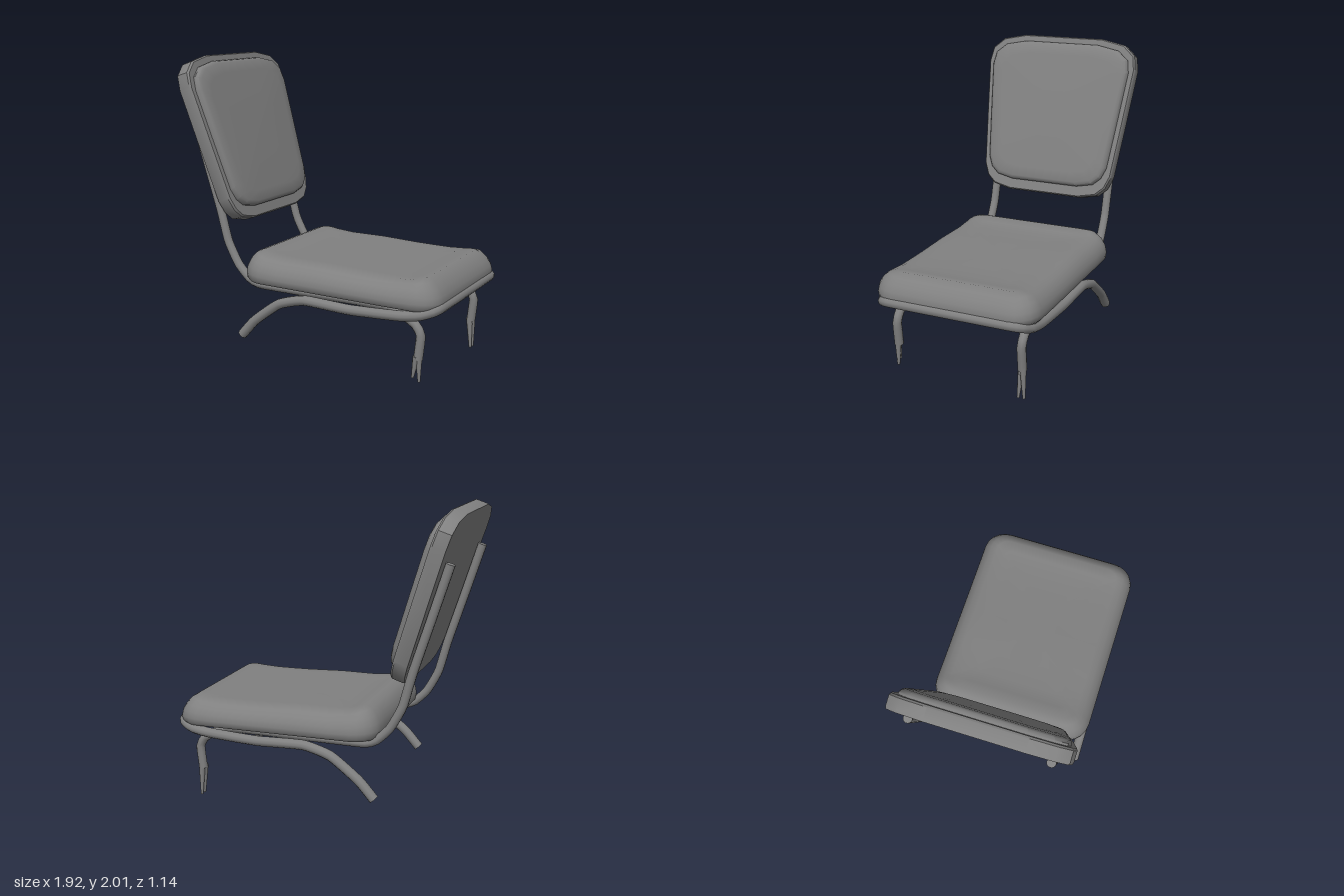
import * as THREE from 'three';
import { toCreasedNormals } from 'three/addons/utils/BufferGeometryUtils.js';

const V = (x, y, z) => new THREE.Vector3(x, y, z);
const material = new THREE.MeshStandardMaterial({ color: 0x808080 });

function part(name, geometry) {
  const mesh = new THREE.Mesh(geometry, material);
  mesh.name = name;
  return mesh;
}

// Skin over rings of equal point count, closed at both ends with a fan
function loft(rings, crease) {
  const n = rings[0].length, points = rings.flat(), index = [];
  for (let r = 0; r < rings.length - 1; r++) {
    for (let i = 0; i < n; i++) {
      const a = r * n + i, b = r * n + (i + 1) % n;
      index.push(a, b, b + n, a, b + n, a + n);
    }
  }
  [0, rings.length - 1].forEach((r) => {
    const centre = rings[r].reduce((s, p) => s.add(p), V(0, 0, 0)).divideScalar(n);
    const c = points.push(centre) - 1;
    for (let i = 0; i < n; i++) {
      const a = r * n + i, b = r * n + (i + 1) % n;
      if (r === 0) index.push(c, b, a);
      else index.push(c, a, b);
    }
  });
  const g = new THREE.BufferGeometry().setFromPoints(points);
  g.setIndex(index);
  return toCreasedNormals(g, crease);
}

// Bent round bar with closed ends
function bar(name, points, radius, segments) {
  const group = new THREE.Group();
  group.name = name;
  const curve = new THREE.CatmullRomCurve3(points, false, 'catmullrom', 0.25);
  group.add(part(name + 'Tube', new THREE.TubeGeometry(curve, segments, radius, 10)));
  [0, 1].forEach((t) => {
    const cap = part(name + 'End', new THREE.CircleGeometry(radius, 10));
    const out = curve.getTangent(t).multiplyScalar(t ? 1 : -1);
    cap.position.copy(curve.getPoint(t));
    cap.quaternion.setFromUnitVectors(V(0, 0, 1), out);
    group.add(cap);
  });
  return group;
}

// Tapered prong between two points
function prong(from, to) {
  const dir = to.clone().sub(from);
  const mesh = part('footProng', new THREE.CylinderGeometry(0.009, 0.023, dir.length(), 8));
  mesh.position.copy(from).lerp(to, 0.5);
  mesh.quaternion.setFromUnitVectors(V(0, 1, 0), dir.normalize());
  return mesh;
}

function interpolate(table, x) {
  if (x <= table[0][0]) return table[0][1];
  for (let i = 1; i < table.length; i++) {
    const [x0, y0] = table[i - 1], [x1, y1] = table[i];
    if (x <= x1) return y0 + (y1 - y0) * (x - x0) / (x1 - x0);
  }
  return table[table.length - 1][1];
}

// Rounded rectangle as [z, x] pairs, with its straight edges subdivided
function roundedRect(halfZ, halfX, radius) {
  const corners = [[1, 1], [-1, 1], [-1, -1], [1, -1]].map(([sz, sx], k) =>
    Array.from({ length: 6 }, (_, i) => {
      const a = (k + i / 5) * Math.PI / 2;
      return [sz * (halfZ - radius) + radius * Math.cos(a), sx * (halfX - radius) + radius * Math.sin(a)];
    }));
  return corners.flatMap((arc, k) => {
    const a = arc[5], b = corners[(k + 1) % 4][0], edge = [];
    for (let i = 1; i < 8; i++) edge.push([a[0] + (b[0] - a[0]) * i / 8, a[1] + (b[1] - a[1]) * i / 8]);
    return [...arc, ...edge];
  });
}

// Seat cushion with raised rear and front rolls
function seat() {
  const top = [[-0.47, 0.75], [-0.37, 0.75], [-0.29, 0.725], [-0.2, 0.712], [0.1, 0.71], [0.4, 0.695], [0.7, 0.69], [0.83, 0.71], [0.94, 0.68]];
  const steps = [[0.02, 0], [0.004, 0.1], [0, 0.28], [0.008, 0.5], [0.03, 0.72], [0.065, 0.91], [0.11, 1], [0.18, 1], [0.27, 1], [0.42, 1]];
  const rings = steps.map(([inset, t]) =>
    roundedRect(0.565 - inset, 0.703 - inset, Math.max(0.05, 0.16 - inset * 0.7)).map(([z, x0]) => {
      const x = x0 + 0.235, bottom = 0.54 - 0.018 * x;
      return V(x, bottom + (interpolate(top, x) - bottom) * t, z);
    }));
  return part('seatCushion', loft(rings, 0.85));
}

// Backrest layer: copies of one outline [width scale, height scale, offset along the tilted normal]
function backPanel(name, midHeight, steps) {
  const half = [[0.27, -0.008], [0.4, 0.02], [0.46, 0.075], [0.495, 0.16], [0.533, 0.55], [0.568, 0.93], [0.55, 1.03], [0.47, 1.1], [0.3, 1.135]];
  const outline = [...half, ...half.map(([a, v]) => [-a, v]).reverse()];
  const rings = steps.map(([wide, high, w]) => outline.map(([a, v0]) => {
    const v = midHeight + (v0 - 0.57) * high;
    return V(-0.61 - 0.308 * v + 0.951 * w, 0.9 + 0.951 * v + 0.308 * w, -a * wide);
  }));
  return part(name, loft(rings, 0.6));
}

export function createModel() {
  const model = new THREE.Group();
  model.name = 'chair';
  model.add(seat());
  model.add(backPanel('backrestPlate', 0.57, [[0.99, 0.995, 0], [1, 1, 0.015], [1, 1, 0.085], [0.985, 0.985, 0.098]]));
  model.add(backPanel('backrestPad', 0.583, [[0.925, 0.89, 0.09], [0.925, 0.89, 0.112], [0.905, 0.875, 0.13], [0.87, 0.845, 0.14], [0.75, 0.73, 0.145]]));

  // Side bars: back post, run under the seat, front leg
  const side = [[-0.9, 1.695], [-0.785, 1.33], [-0.68, 1], [-0.62, 0.78], [-0.54, 0.63], [-0.45, 0.54], [-0.36, 0.512],
    [0.1, 0.508], [0.58, 0.502], [0.69, 0.46], [0.77, 0.41], [0.806, 0.35], [0.797, 0.25], [0.79, 0.19]];
  [1, -1].forEach((s) => {
    const name = s > 0 ? 'left' : 'right';
    model.add(bar(name + 'BackPostAndFrontLeg', side.map(([x, y]) => V(x, y, s * 0.442)), 0.03, 70));
  });

  // Split feet
  const feet = [[0.445, [0.76, 0.07, 0.455], [0.8, 0.045, 0.445]], [-0.44, [0.8, 0, -0.417], [0.8, 0, -0.457]]];
  feet.forEach(([z, a, b]) => {
    model.add(prong(V(0.782, 0.21, z + Math.sign(a[2] - z) * 0.008), V(...a)));
    model.add(prong(V(0.797, 0.21, z + Math.sign(b[2] - z) * 0.008), V(...b)));
  });

  // Loop bar: rear legs joined around the front of the seat
  const loop = [[-0.465, 0.17, 0.522], [-0.36, 0.285, 0.522], [-0.17, 0.425, 0.522], [0.02, 0.476, 0.522], [0.35, 0.464, 0.522],
    [0.7, 0.48, 0.525], [0.82, 0.498, 0.52], [0.89, 0.52, 0.49], [0.922, 0.532, 0.42]];
  const path = [...loop.map((p) => V(...p)), V(0.925, 0.533, 0), ...loop.map(([x, y, z]) => V(x, y, -z)).reverse()];
  model.add(bar('rearLegLoop', path, 0.033, 120));
  return model;
}
